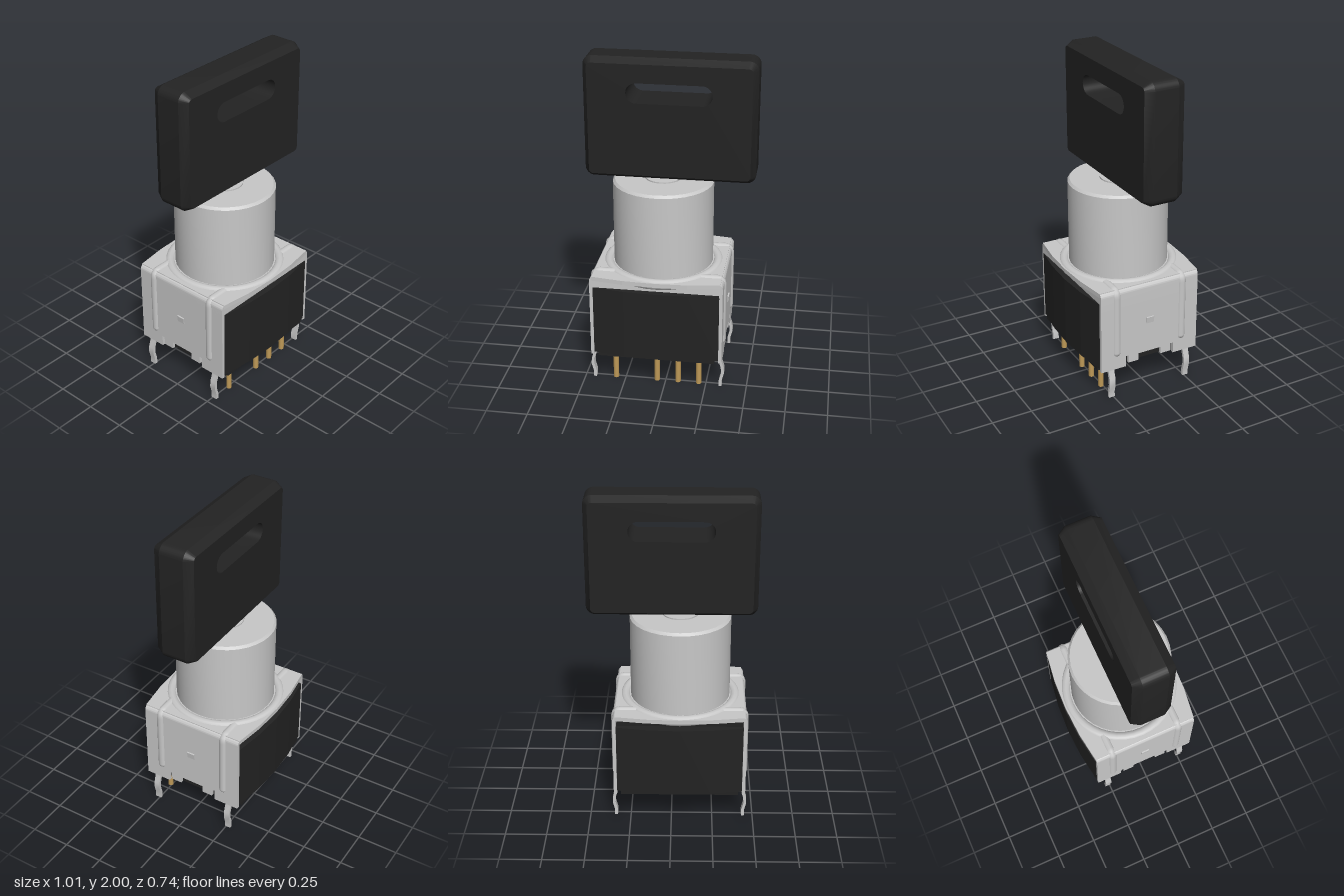
import * as THREE from 'three';
import { toCreasedNormals } from 'three/addons/utils/BufferGeometryUtils.js';

const mat = (name, color) => new THREE.MeshStandardMaterial({ name, color });

export function createModel() {
  const steel = mat('steel grey', 0xc8c8c8);
  const black = mat('black plastic', 0x232323);
  const gold = mat('gold', 0xbf9a58);
  const model = new THREE.Group();
  model.name = 'keySwitch';
  const body = new THREE.Group();
  body.name = 'body';
  body.position.x = -0.05;
  model.add(body);

  const add = (name, geo, material, x = 0, y = 0, z = 0, parent = body) => {
    const mesh = new THREE.Mesh(geo, material);
    mesh.name = name;
    mesh.position.set(x, y, z);
    parent.add(mesh);
    return mesh;
  };
  const box = (name, m, w, h, d, x, y, z, parent) =>
    add(name, new THREE.BoxGeometry(w, h, d), m, x, y, z, parent);
  const poly = (pts) => new THREE.Shape(pts.map(([x, y]) => new THREE.Vector2(x, y)));
  const extrude = (shape, depth) =>
    new THREE.ExtrudeGeometry(shape, { depth, bevelEnabled: false, curveSegments: 8 });

  // Plan outline with bowed front and back edges
  const bowed = (w, d, bow) => {
    const edge = [-1, -0.5, 0, 0.5, 1].map((t) => [w * t, d + bow * (1 - t * t)]);
    return poly([...edge, ...edge.map(([x, z]) => [-x, -z])]);
  };
  const slab = (shape, h) => extrude(shape, h).rotateX(-Math.PI / 2);

  // Key head: bevelled rounded plate with a straight slot through it
  const W = 0.475, H = 0.335, R = 0.025;
  const head = new THREE.Shape();
  head.moveTo(-W + R, -H);
  head.lineTo(W - R, -H);
  head.absarc(W - R, -H + R, R, -Math.PI / 2, 0);
  head.lineTo(W, H - R);
  head.absarc(W - R, H - R, R, 0, Math.PI / 2);
  head.lineTo(-W + R, H);
  head.absarc(-W + R, H - R, R, Math.PI / 2, Math.PI);
  head.lineTo(-W, -H + R);
  head.absarc(-W + R, -H + R, R, Math.PI, Math.PI * 1.5);
  const slotY = 0.165, slotR = 0.06, slotX = 0.19;
  const slot = new THREE.Path();
  slot.absarc(slotX, slotY, slotR, -Math.PI / 2, Math.PI / 2);
  slot.absarc(-slotX, slotY, slotR, Math.PI / 2, Math.PI * 1.5);
  head.holes.push(slot);
  const headGeo = new THREE.ExtrudeGeometry(head, {
    depth: 0.15, bevelSize: 0.03, bevelThickness: 0.05, bevelSegments: 1, curveSegments: 8,
  }).translate(0, 0, -0.075);
  // Undo the bevel inside the slot so its wall is straight
  const p = headGeo.attributes.position;
  for (let i = 0; i < p.count; i++) {
    const x = p.getX(i), y = p.getY(i);
    if (Math.abs(x) > 0.3 || Math.abs(y - slotY) > 0.1) continue;
    const cx = THREE.MathUtils.clamp(x, -slotX, slotX);
    const k = slotR / Math.hypot(x - cx, y - slotY);
    p.setXY(i, cx + (x - cx) * k, slotY + (y - slotY) * k);
  }
  add('keyHead', toCreasedNormals(headGeo, 0.5), black, 0, 1.635, 0, model);
  box('keyBlade', steel, 0.31, 0.08, 0.07, 0, 1.25, 0, model);

  // Lock barrel with chamfered top edge
  const barrel = new THREE.LatheGeometry(
    [[0.303, 0.68], [0.303, 1.235], [0.29, 1.25], [0, 1.25]].map(([x, y]) => new THREE.Vector2(x, y)), 32);
  add('barrel', toCreasedNormals(barrel, 0.5), steel);
  add('keywayDisc', new THREE.CylinderGeometry(0.11, 0.11, 0.01, 24), steel, 0, 1.253, 0);

  // Steel cover: bent channel, bowed top plate and notched side walls
  const c = new THREE.Shape();
  c.moveTo(-0.4, 0.6);
  c.lineTo(-0.38, 0.6);
  c.lineTo(-0.38, 0.695);
  c.lineTo(0.38, 0.695);
  c.lineTo(0.38, 0.6);
  c.lineTo(0.4, 0.6);
  c.lineTo(0.4, 0.69);
  c.absarc(0.37, 0.69, 0.03, 0, Math.PI / 2);
  c.lineTo(-0.37, 0.72);
  c.absarc(-0.37, 0.69, 0.03, Math.PI / 2, Math.PI);
  add('coverChannel', toCreasedNormals(extrude(c, 0.66), 0.6), steel, 0, 0, -0.33);
  add('coverTop', slab(bowed(0.385, 0.332, 0.036), 0.026), steel, 0, 0.695, 0);
  box('frontStrip', steel, 0.76, 0.07, 0.01, 0, 0.67, 0.325);

  const half = [[0.33, 0.69], [0.33, 0.19], [0.165, 0.19], [0.165, 0.26], [0.147, 0.26],
    [0.147, 0.21], [0.078, 0.21], [0.078, 0.255]];
  const wall = poly([...half, ...half.map(([z, y]) => [-z, y]).reverse()].reverse());
  const wallGeo = extrude(wall, 0.02).rotateY(Math.PI / 2);

  // Bent mounting leg profile
  const bend = [[0.385, 0.22], [0.385, 0.18], [0.401, 0.13], [0.403, 0.09], [0.39, 0.04], [0.39, 0.0]];
  const leg = poly([...bend.map(([x, y]) => [x - 0.009, y]),
    ...bend.map(([x, y]) => [x + 0.009, y]).reverse()]);
  const legGeo = toCreasedNormals(extrude(leg, 0.038).translate(0, 0, -0.019), 0.6);

  // Pressed rib running from the top ring over the edge and down the wall
  const rib = (s, z) => {
    const v = (x, y) => new THREE.Vector3(s * x, y, z);
    const path = new THREE.CurvePath();
    path.add(new THREE.LineCurve3(v(0.25, 0.702), v(0.355, 0.702)));
    path.add(new THREE.QuadraticBezierCurve3(v(0.355, 0.702), v(0.382, 0.702), v(0.382, 0.675)));
    path.add(new THREE.LineCurve3(v(0.382, 0.675), v(0.382, 0.3)));
    add('rib', new THREE.TubeGeometry(path, 40, 0.03, 12), steel);
    add('ribEnd', new THREE.SphereGeometry(0.03, 12, 8), steel, s * 0.382, 0.3, z);
  };

  for (const s of [-1, 1]) {
    add('sideWall', wallGeo, steel, s > 0 ? 0.38 : -0.4, 0, 0);
    box('wallLance', steel, 0.012, 0.04, 0.05, s * 0.4, 0.47, 0).rotation.z = s * -0.12;
    for (const z of [-1, 1]) {
      rib(s, z * 0.223);
      const l = add('leg', legGeo, steel, 0, 0, z * 0.26);
      if (s < 0) l.rotation.y = Math.PI;
    }
  }
  const ring = new THREE.TorusGeometry(0.335, 0.032, 12, 40).rotateX(Math.PI / 2);
  add('coverRing', ring, steel, 0, 0.702, 0);

  // Black switch housing
  add('housing', slab(bowed(0.379, 0.332, 0.038), 0.44), black, 0, 0.21, 0);
  box('housingCore', black, 0.75, 0.06, 0.62, 0, 0.665, 0);
  for (const z of [-1, 1]) box('housingFoot', black, 0.71, 0.04, 0.18, 0, 0.207, z * 0.245);

  // Terminal pins
  for (const x of [-0.26, -0.003, 0.127, 0.255])
    add('pin', new THREE.CylinderGeometry(0.017, 0.017, 0.22, 12), gold, x, 0.11, 0.26);

  return model;
}
